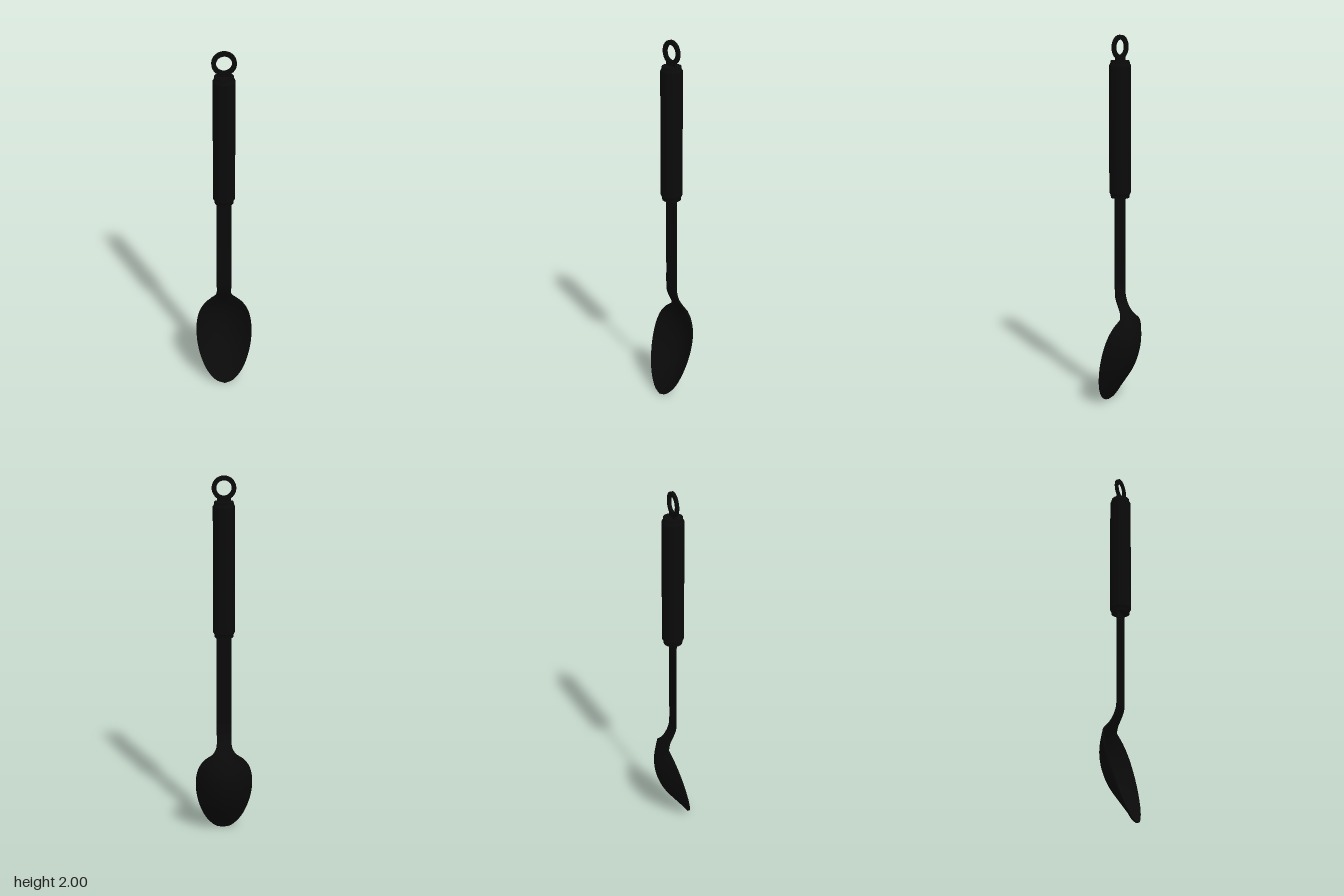
import * as THREE from 'three';
import { toCreasedNormals } from 'three/addons/utils/BufferGeometryUtils.js';

const material = new THREE.MeshStandardMaterial({ color: 0x0a0a0a });
const AXIS_Z = 0.01; // depth of the handle axis

function part(name, geometry) {
  const mesh = new THREE.Mesh(geometry, material);
  mesh.name = name;
  return mesh;
}

// Spoon bowl flowing into the flat shaft: lofted closed cross-sections.
function bowlAndShaft() {
  // half width, height, depth of the back centre line
  const spine = new THREE.CatmullRomCurve3([
    [0, 0, 0.09], [0.04, 0.012, 0.082], [0.075, 0.044, 0.06], [0.11, 0.1, 0.018],
    [0.143, 0.2, -0.05], [0.155, 0.29, -0.084], [0.151, 0.37, -0.093],
    [0.133, 0.43, -0.082], [0.1, 0.475, -0.064], [0.064, 0.503, -0.049],
    [0.045, 0.53, -0.034], [0.039, 0.57, -0.012], [0.04, 0.61, 0.002],
    [0.04, 0.65, 0.005], [0.04, 0.75, 0.005], [0.04, 1.2, 0.005],
  ].map((p) => new THREE.Vector3(...p)), false, 'centripetal');
  const rows = 90, cols = 24, loop = 2 * (cols + 1);
  const thickness = 0.01;
  const positions = [], index = [];
  for (let i = 0; i <= rows; i++) {
    const p = spine.getPoint(i / rows);
    const rim = Math.max(p.z, 0.087 - 0.272 * p.y);
    for (let j = 0; j < loop; j++) {
      const front = j <= cols;
      const s = (front ? j : loop - 1 - j) / cols * 2 - 1;
      const z = p.z + (rim - p.z) * s * s + (front ? thickness : 0);
      positions.push(s * p.x, p.y, z);
      if (i < rows) {
        const a = i * loop + j, b = i * loop + (j + 1) % loop;
        index.push(a, b, b + loop, a, b + loop, a + loop);
      }
    }
  }
  const geometry = new THREE.BufferGeometry();
  geometry.setAttribute('position', new THREE.Float32BufferAttribute(positions, 3));
  geometry.setIndex(index);
  return toCreasedNormals(geometry, 0.7);
}

// Round grip with stepped, chamfered ends.
function gripGeometry() {
  const profile = [
    [0, 1.155], [0.049, 1.155], [0.05, 1.17], [0.057, 1.182],
    [0.057, 1.845], [0.05, 1.857], [0.049, 1.87], [0, 1.87],
  ].map((p) => new THREE.Vector2(...p));
  return toCreasedNormals(new THREE.LatheGeometry(profile, 48), 0.5);
}

// Flat hanging ring.
function ringGeometry(depth) {
  const shape = new THREE.Shape().absarc(0, 0, 0.062, 0, Math.PI * 2);
  shape.holes.push(new THREE.Path().absarc(0, 0, 0.039, 0, Math.PI * 2, true));
  return new THREE.ExtrudeGeometry(shape, { depth, bevelEnabled: false, curveSegments: 40 })
    .translate(0, 1.938, -depth / 2);
}

export function createModel() {
  const model = new THREE.Group();
  model.name = 'servingSpoon';
  model.add(part('bowlAndShaft', bowlAndShaft()));

  const handle = new THREE.Group();
  handle.name = 'handle';
  handle.position.z = AXIS_Z;
  handle.add(
    part('grip', gripGeometry()),
    part('hangingRing', ringGeometry(0.014)),
    part('ringTab', new THREE.BoxGeometry(0.07, 0.032, 0.014).translate(0, 1.874, 0)),
  );
  model.add(handle);
  return model;
}
